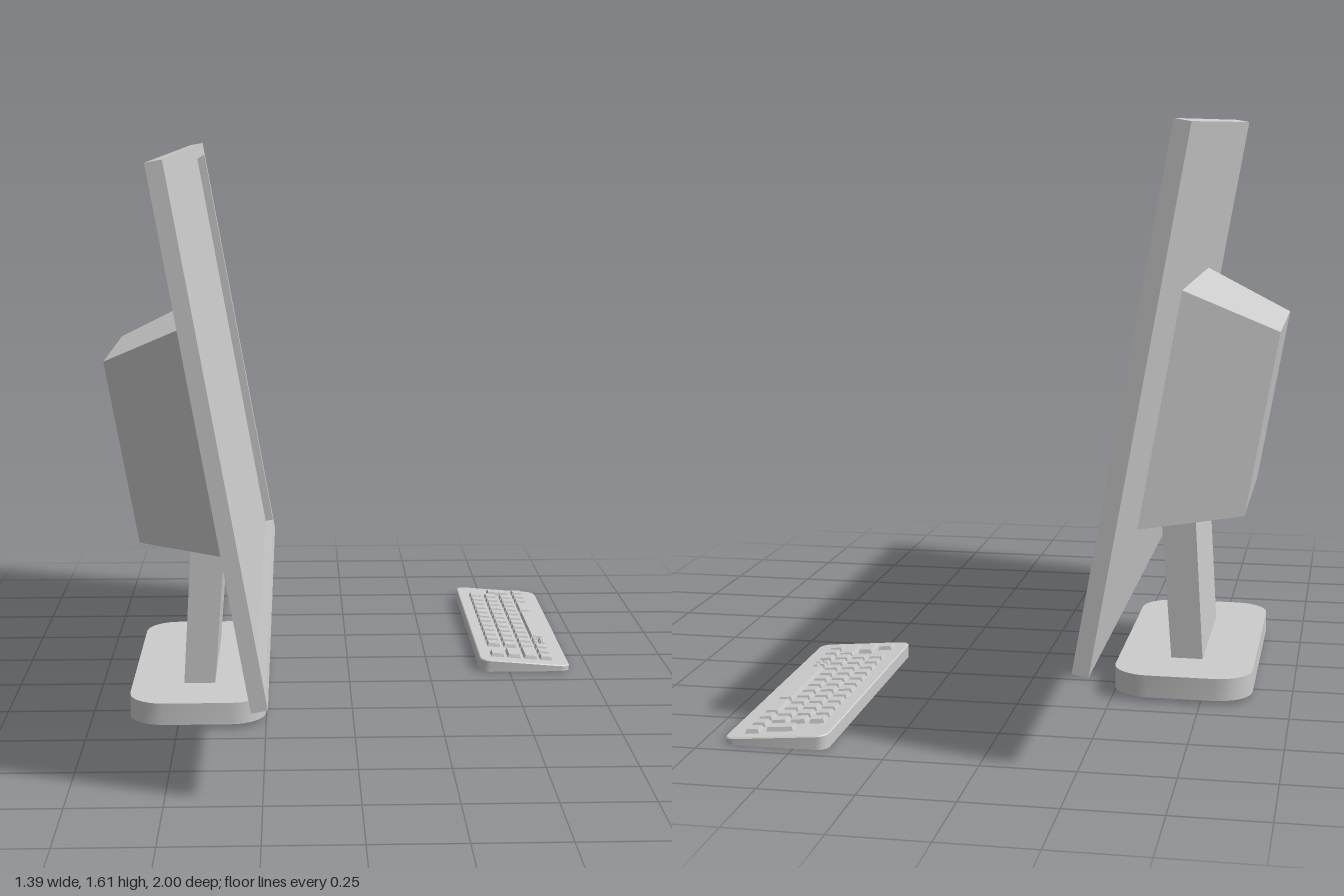
import * as THREE from 'three';
import { toCreasedNormals } from 'three/addons/utils/BufferGeometryUtils.js';

const CORNER = 6; // points per rounded corner
const TILT = THREE.MathUtils.degToRad(10);
const material = new THREE.MeshStandardMaterial({ color: 0xcccccc, side: THREE.DoubleSide });

// Rounded rectangle in the xz plane; height is a number or a function of x
function ring(height, x0 = 0, x1 = 0, halfZ = 0, r = 0) {
  const points = [], cx = (x0 + x1) / 2, hx = (x1 - x0) / 2;
  [[1, 1], [-1, 1], [-1, -1], [1, -1]].forEach(([sx, sz], corner) => {
    for (let i = 0; i < CORNER; i++) {
      const a = (corner + i / (CORNER - 1)) * Math.PI / 2;
      const x = cx + sx * (hx - r) + r * Math.cos(a);
      const z = sz * (halfZ - r) + r * Math.sin(a);
      points.push([x, typeof height === 'function' ? height(x) : height, z]);
    }
  });
  return points;
}

// Surface through successive rings; a zero-size ring closes an end
function skin(name, rings) {
  const n = rings[0].length, index = [];
  for (let k = 0; k < rings.length - 1; k++) {
    for (let i = 0; i < n; i++) {
      const j = (i + 1) % n;
      const a = k * n + i, b = k * n + j, d = a + n, c = b + n;
      index.push(a, d, b, b, d, c);
    }
  }
  const geometry = new THREE.BufferGeometry();
  geometry.setAttribute('position', new THREE.Float32BufferAttribute(rings.flat(2), 3));
  geometry.setIndex(index);
  const mesh = new THREE.Mesh(toCreasedNormals(geometry, 0.5), material);
  mesh.name = name;
  return mesh;
}

function makeMonitor() {
  const monitor = new THREE.Group();
  monitor.name = 'monitor';

  // Tilted display: local y is the screen normal, local x runs down the screen
  const display = new THREE.Group();
  display.name = 'display';
  display.position.set(-0.355, 0.93, 0);
  display.rotation.z = TILT - Math.PI / 2;
  display.add(skin('screenPanel', [
    ring(-0.043),
    ring(-0.043, -0.69, 0.69, 1),
    ring(0, -0.69, 0.69, 1),
    ring(0, -0.65, 0.65, 0.96),
    ring(-0.026, -0.65, 0.65, 0.96),
    ring(-0.026),
  ]));
  display.add(skin('rearHousing', [
    ring(-0.321, 0.106, 0.106),
    ring(-0.321, -0.158, 0.37, 0.285),
    ring(-0.043, -0.232, 0.444, 0.4),
  ]));

  // Hollow foot, open below, with an opening where the stem stands
  const foot = skin('standBase', [
    ring(0.012, -0.64, -0.25, 0.415, 0.1),
    ring(0.075, -0.64, -0.25, 0.415, 0.1),
    ring(0.075, -0.49, -0.4, 0.23),
  ]);
  const stem = skin('standStem', [
    ring(0.075, -0.49, -0.4, 0.23),
    ring(0.51, -0.464, -0.366, 0.23),
  ]);
  monitor.add(display, foot, stem);
  return monitor;
}

function makeKeyboard() {
  const keyboard = new THREE.Group();
  keyboard.name = 'keyboard';
  keyboard.position.set(0.55, 0, -0.5225);
  const slope = 0.083;
  const deck = (x) => 0.028 - slope * x;

  // Wedge-shaped case, open below
  keyboard.add(skin('keyboardCase', [
    ring(0, -0.14, 0.14, 0.4375, 0.03),
    ring((x) => deck(x) - 0.003, -0.14, 0.14, 0.4375, 0.03),
    ring(deck, -0.137, 0.137, 0.4345, 0.028),
    ring(deck),
  ]));

  const keys = new THREE.Group();
  keys.name = 'keys';
  keyboard.add(keys);

  // Tapered key spanning z0..z1 and x0..x1 in model coordinates
  function addKey(x0, x1, z0, z1) {
    const hx = (x1 - x0) / 2, hz = (z1 - z0) / 2;
    const key = skin('key', [
      ring(-0.001, -hx, hx, hz),
      ring(0.011, 0.004 - hx, hx - 0.004, hz - 0.004),
      ring(0.011),
    ]);
    const x = (x0 + x1) / 2 - 0.55;
    key.position.set(x, deck(x), (z0 + z1) / 2 + 0.5225);
    key.rotation.z = -Math.atan(slope);
    keys.add(key);
  }

  // Three full rows, each ending in its own left-hand key
  [[0.447, -0.17], [0.499, -0.2], [0.551, -0.228]].forEach(([x, endZ]) => {
    for (let i = 0; i < 12; i++) {
      const z = -0.855 + i * 0.0525;
      addKey(x, x + 0.042, z, z + 0.042);
    }
    addKey(x, x + 0.042, endZ, -0.127);
  });
  // Tall key at the right-hand end
  addKey(0.513, 0.587, -0.915, -0.873);

  // Front row: small keys, a wide key and the space bar
  [[-0.928, -0.886], [-0.875, -0.833], [-0.822, -0.78], [-0.77, -0.663], [-0.653, -0.355],
    [-0.276, -0.234], [-0.223, -0.181], [-0.17, -0.127]]
    .forEach(([z0, z1]) => addKey(0.601, 0.64, z0, z1));
  // Cluster of half-size keys
  for (const x of [0.601, 0.622]) {
    for (const z of [-0.342, -0.314]) addKey(x, x + 0.018, z, z + 0.024);
  }
  return keyboard;
}

export function createModel() {
  const model = new THREE.Group();
  model.name = 'desktopComputer';
  model.add(makeMonitor(), makeKeyboard());
  return model;
}
